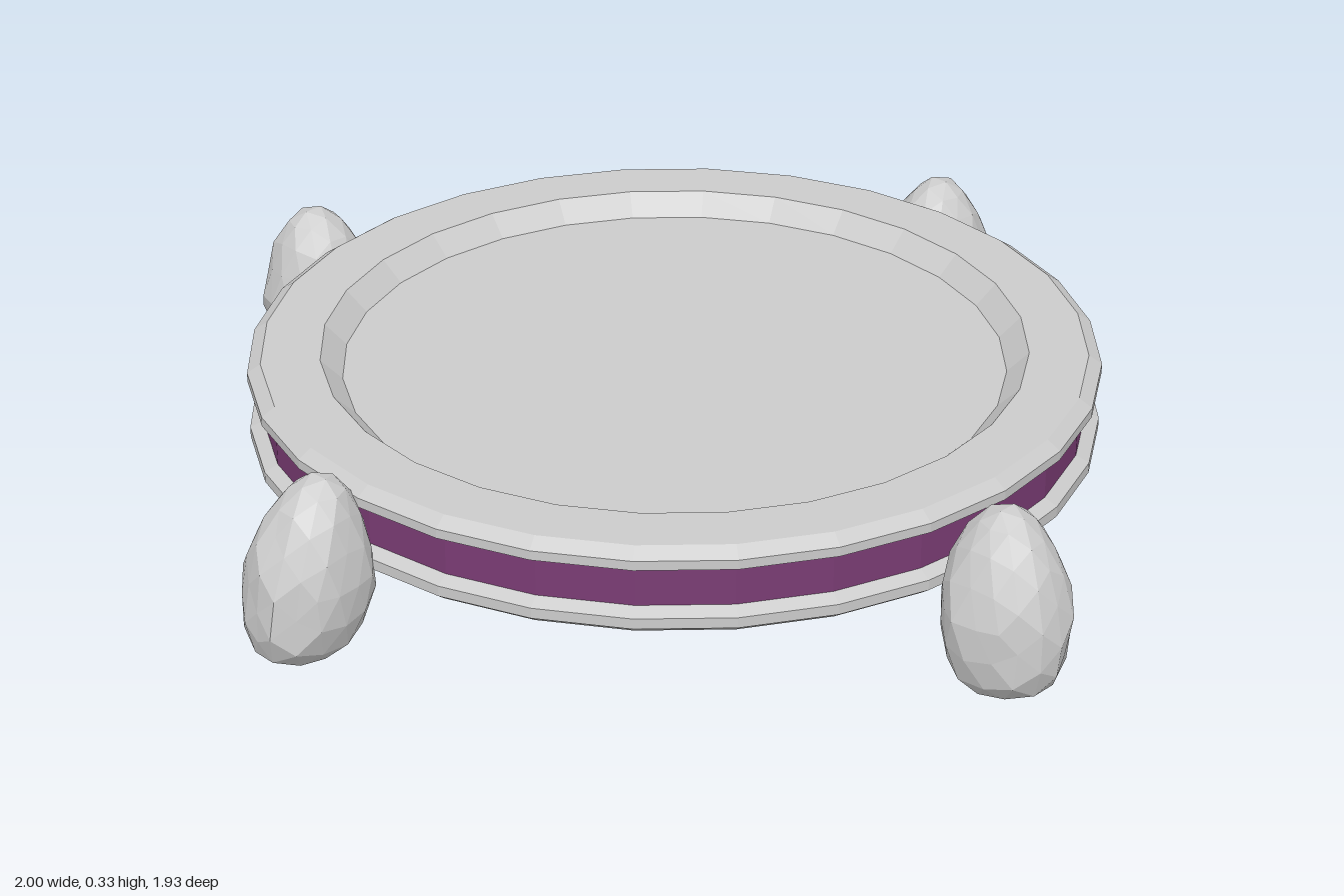
import * as THREE from 'three';

const SIDES = 28;
const grey = new THREE.MeshStandardMaterial({ color: 0xcccccc, flatShading: true, side: THREE.DoubleSide });
const purple = new THREE.MeshStandardMaterial({ color: 0x7a3c74, flatShading: true, side: THREE.DoubleSide });

// Turned shell from [radius, height] pairs
function turned(name, profile, material) {
  const pts = profile.map(([r, y]) => new THREE.Vector2(r, y));
  const mesh = new THREE.Mesh(new THREE.LatheGeometry(pts, SIDES), material);
  mesh.name = name;
  return mesh;
}

// Repeatable noise in -1..1, equal for equal positions
function noise(v, seed) {
  const k = Math.round(v.x * 50) * 12.9898 + Math.round(v.y * 50) * 78.233 + Math.round(v.z * 50) * 37.719 + seed * 4.137;
  const s = Math.sin(k) * 43758.5453;
  return (s - Math.floor(s)) * 2 - 1;
}

// Faceted egg-shaped boulder with a flat base; its top leans by lean along z
function boulder(seed, lean) {
  const geo = new THREE.IcosahedronGeometry(1, 2);
  const pos = geo.attributes.position;
  const v = new THREE.Vector3();
  for (let i = 0; i < pos.count; i++) {
    v.fromBufferAttribute(pos, i);
    const bump = 1 + 0.06 * noise(v, seed);
    const h = (Math.max(v.y, -0.8) + 0.8) / 1.8;
    const taper = (1.08 - 0.2 * v.y) * bump;
    pos.setXYZ(i,
      v.x * 0.102 * taper + 0.015 * (h - 0.4),
      h * 0.33,
      v.z * 0.11 * taper + lean * (h - 0.35));
  }
  geo.computeVertexNormals();
  return new THREE.Mesh(geo, grey);
}

export function createModel() {
  const model = new THREE.Group();

  // Round tray: hollow underneath, with a shallow dish on top
  const tray = new THREE.Group();
  tray.name = 'tray';
  tray.position.set(-0.02, 0, -0.03);
  tray.add(
    turned('lowerRing', [[0.775, 0.13], [0.795, 0.145], [0.795, 0.165], [0.77, 0.177]], grey),
    turned('colouredBand', [[0.77, 0.177], [0.77, 0.25]], purple),
    turned('rimAndDish', [[0.77, 0.25], [0.795, 0.26], [0.795, 0.278], [0.77, 0.295], [0.66, 0.295], [0.62, 0.255], [0, 0.255]], grey),
  );
  model.add(tray);

  // Four boulders carrying the tray: x, z, turn, lean
  const places = [
    ['frontBoulder', -0.07, 0.847, 0, -0.05],
    ['backBoulder', -0.07, -0.847, Math.PI, 0.03],
    ['leftBoulder', 0.88, 0.09, Math.PI / 2, -0.02],
    ['rightBoulder', -0.88, 0.09, -Math.PI / 2, 0.01],
  ];
  places.forEach(([name, x, z, turn, lean], i) => {
    const rock = boulder(i + 1, lean);
    rock.name = name;
    rock.position.set(x, 0, z);
    rock.rotation.y = turn;
    model.add(rock);
  });

  return model;
}
